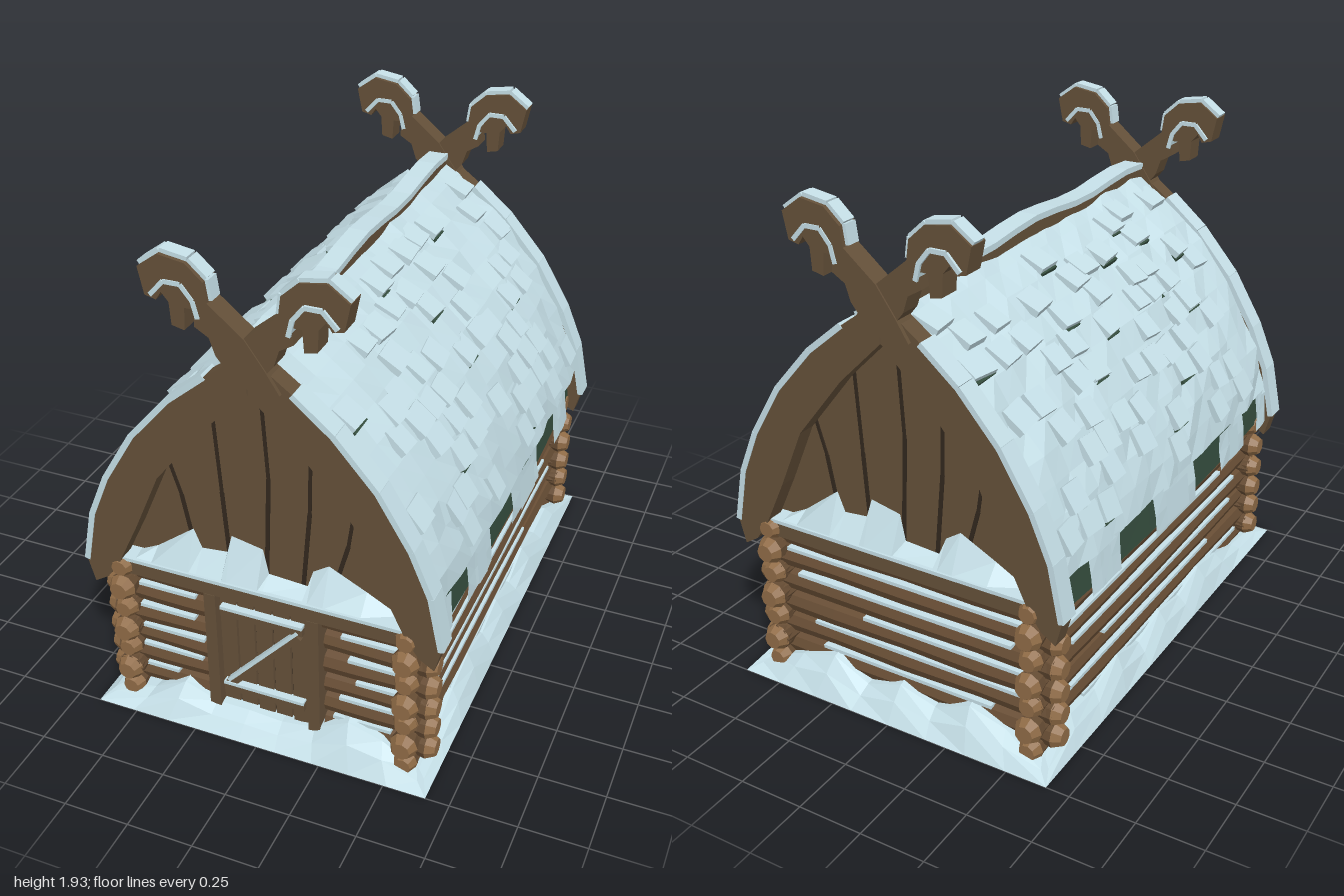
import * as THREE from 'three';

const mat = (name, color, side = THREE.FrontSide) => {
  const m = new THREE.MeshStandardMaterial({ color, side });
  m.name = name;
  return m;
};
const V2 = (p) => new THREE.Vector2(p[0], p[1]);

export function createModel() {
  const snow = mat('snow', 0xc6e0e8, THREE.DoubleSide);
  const wood = mat('plank wood', 0x645039);
  const bark = mat('log bark', 0x674d34);
  const cut = mat('cut log end', 0x8f6b46);
  const dark = mat('dark gap', 0x32281e);
  const green = mat('green shingle', 0x344c3d, THREE.DoubleSide);

  let seed = 11;
  const rnd = () => (seed = (seed * 16807) % 2147483647) / 2147483647;
  const jit = (a) => (rnd() - 0.5) * 2 * a;

  const model = new THREE.Group();
  model.name = 'snowyLogHouse';
  const group = (name, parent = model) => {
    const g = new THREE.Group();
    g.name = name;
    parent.add(g);
    return g;
  };
  // Every mesh is faceted
  const add = (parent, name, geo, m, x = 0, y = 0, z = 0) => {
    const g = geo.index ? geo.toNonIndexed() : geo;
    g.computeVertexNormals();
    const mesh = new THREE.Mesh(g, m);
    mesh.name = name;
    mesh.position.set(x, y, z);
    parent.add(mesh);
    return mesh;
  };
  const box = (parent, name, w, h, d, m, x, y, z) =>
    add(parent, name, new THREE.BoxGeometry(w, h, d), m, x, y, z);
  const plate = (parent, name, pts, z0, z1, m) =>
    add(parent, name, new THREE.ExtrudeGeometry(new THREE.Shape(pts.map(V2)),
      { depth: z1 - z0, bevelEnabled: false }), m, 0, 0, z0);
  // Thin bar between two points of a wall
  const bar = (parent, name, a, b, w, d, m, z) => {
    const o = box(parent, name, Math.hypot(b[0] - a[0], b[1] - a[1]), w, d, m,
      (a[0] + b[0]) / 2, (a[1] + b[1]) / 2, z);
    o.rotation.z = Math.atan2(b[1] - a[1], b[0] - a[0]);
  };
  // Surface through rows of [x, y, z] points
  const sheet = (parent, name, rows, m) => {
    const pos = [];
    for (let i = 0; i + 1 < rows.length; i++)
      for (let j = 0; j + 1 < rows[i].length; j++) {
        const [a, b, c, d] = [rows[i][j], rows[i + 1][j], rows[i + 1][j + 1], rows[i][j + 1]];
        pos.push(...a, ...b, ...c, ...a, ...c, ...d);
      }
    const g = new THREE.BufferGeometry();
    g.setAttribute('position', new THREE.Float32BufferAttribute(pos, 3));
    add(parent, name, g, m);
  };
  const mirror = (pts, s) => pts.map(([x, y]) => [x * s, y]);

  // Ground and snow banks against the walls
  add(model, 'groundSnow', new THREE.PlaneGeometry(1.32, 2).rotateX(-Math.PI / 2), snow);
  const bank = (name, hs, half, edge, inner, place) => {
    const n = hs.length - 1;
    const row = (k, r, top) => hs.map((h, i) => place((i / n * 2 - 1) * k, top * h, r));
    sheet(model, name, [row(half, edge, 0), row(half * 0.93, (edge + inner) / 2, 0.6), row(half * 0.9, inner, 1),
      row(half * 0.88, inner - 0.06, 1.1)], snow);
  };
  const sideH = [0.03, 0.1, 0.09, 0.13, 0.08, 0.12, 0.09, 0.13, 0.1, 0.05, 0.03];
  for (const s of [1, -1]) bank('sideSnowBank', sideH, 1, 0.66, 0.6, (a, h, r) => [s * r, h, a]);
  bank('frontSnowBank', [0.04, 0.06, 0.13, 0.08, 0.08, 0.07, 0.09, 0.16, 0.12, 0.04], 0.66, 1, 0.91, (a, h, r) => [a, h, r]);
  bank('backSnowBank', [0.04, 0.1, 0.14, 0.08, 0.12, 0.07, 0.14, 0.1, 0.04], 0.66, 1, 0.91, (a, h, r) => [a, h, -r]);

  // Log lying along local x, with knobbed cut ends and a line of snow
  const log = (parent, x0, x1, y, z, r, end0 = true, end1 = true) => {
    const len = x1 - x0, mid = (x0 + x1) / 2;
    const g = new THREE.CylinderGeometry(r, r, len, 8, 4).rotateZ(Math.PI / 2);
    const p = g.attributes.position;
    for (let i = 0; i < p.count; i++) {
      const k = 1 + 0.07 * Math.sin(p.getX(i) * 9 + y * 40);
      p.setY(i, p.getY(i) * k);
      p.setZ(i, p.getZ(i) * k);
    }
    add(parent, 'log', g, bark, mid, y, z);
    for (const [on, x, s] of [[end0, x0, -1], [end1, x1, 1]]) {
      if (!on) continue;
      const collar = new THREE.CylinderGeometry(r * 1.1, r * 0.95, 0.04, 9).rotateZ(-s * Math.PI / 2);
      add(parent, 'logCollar', collar, bark, x - s * 0.025, y, z);
      const tip = new THREE.CylinderGeometry(r * 0.72, r * 1.1, 0.035, 9).rotateZ(-s * Math.PI / 2);
      add(parent, 'logEnd', tip, cut, x + s * 0.0125, y, z);
    }
    const f = 0.55 + rnd() * 0.35;
    box(parent, 'logSnow', len * f, 0.014, 0.04, snow, mid + jit(len * (0.9 - f) / 2), y + r * 0.95, z + 0.02);
  };
  box(model, 'wallCore', 1.06, 0.62, 1.66, dark, 0, 0.315, 0);
  const sideY = [0.06, 0.15, 0.245, 0.335, 0.43, 0.53, 0.62];
  for (const s of [1, -1]) {
    const wall = group(s > 0 ? 'leftWall' : 'rightWall');
    wall.rotation.y = s * Math.PI / 2;
    sideY.forEach((y, i) => {
      const half = i % 2 ? 0.935 : 0.915;
      log(wall, -half, half, y, 0.55, i % 2 ? 0.048 : 0.043);
    });
  }
  const endY = [0.105, 0.2, 0.29, 0.385, 0.485];

  // Roof outline of one half, from eave to ridge
  const outline = [[0.655, 0.6], [0.63, 0.8], [0.56, 1.0], [0.443, 1.2], [0.292, 1.38], [0.145, 1.505], [0, 1.61]];
  const curve = new THREE.SplineCurve(outline.map(V2));
  const roofPoint = (along, z, off, s) => {
    const t = Math.min(1, along);
    const p = curve.getPointAt(t), d = curve.getTangentAt(t);
    const bulge = 0.022 * (1 - (z / 0.87) ** 2) * (1 - t);
    return [s * (p.x + d.y * off + bulge), p.y - d.x * off, z];
  };
  const roofSheet = (parent, name, t0, t1, z0, z1, nt, nz, off, j, s, m) => {
    const rows = [];
    for (let i = 0; i <= nt; i++) {
      rows.push([]);
      for (let k = 0; k <= nz; k++)
        rows[i].push(roofPoint(t0 + (t1 - t0) * i / nt, z0 + (z1 - z0) * k / nz, off + jit(j), s));
    }
    sheet(parent, name, rows, m);
  };
  const roof = group('roof');
  const tabs = [[0.87, 0.76], [0.61, 0.36], [0.115, -0.23], [-0.49, -0.7]];
  for (const s of [1, -1]) {
    const half = group(s > 0 ? 'leftRoof' : 'rightRoof', roof);
    roofSheet(half, 'greenLayer', 0, 1, -0.87, 0.87, 10, 8, -0.03, 0, s, green);
    roofSheet(half, 'snowLayer', 0.11, 1, -0.87, 0.87, 11, 16, 0, 0.012, s, snow);
    for (const [a, b] of tabs) {
      roofSheet(half, 'eaveSnow', 0, 0.12, b, a, 2, 3, 0.002, 0.004, s, snow);
      if (a - b > 0.2) roofSheet(half, 'eaveTab', 0.01, 0.11, b + 0.08, a - 0.08, 1, 1, 0.012, 0, s, snow);
    }
    // Raised snow-capped shingles, some with green showing at the lower edge
    for (let r = 0; r < 9; r++) {
      for (let z = -0.78 + (r % 2) * 0.07; z < 0.82; z += 0.13) {
        if (rnd() > 0.5) continue;
        const t = 0.21 + r * 0.085 + jit(0.012), zz = z + jit(0.02);
        const d = curve.getTangentAt(t), w = 0.09 + rnd() * 0.03;
        const angle = Math.atan2(-d.y, -s * d.x) + s * 0.2;
        const tile = box(half, 'shingleSnow', 0.1, 0.026, w, snow, ...roofPoint(t, zz, 0.002, s));
        tile.rotation.set(0, jit(0.12), angle, 'ZYX');
        if (rnd() < 0.25) {
          const under = box(half, 'shingleGreen', 0.1, 0.024, w * 0.92, green, ...roofPoint(t - 0.009, zz, -0.013, s));
          under.rotation.z = angle;
        }
      }
    }
  }
  // Wavy ridge beam with snow
  for (const [name, w, h, y, m] of [['ridgeBeam', 0.07, 0.07, 1.585, wood], ['ridgeSnow', 0.08, 0.024, 1.63, snow]]) {
    const g = new THREE.BoxGeometry(w, h, 1.74, 1, 1, 12);
    const p = g.attributes.position;
    for (let i = 0; i < p.count; i++) p.setY(i, p.getY(i) + 0.012 * Math.cos(p.getZ(i) * 8.5) - 0.01 * p.getZ(i) ** 2);
    add(roof, name, g, m, 0, y, 0);
  }

  // Gable ends: planks, verge boards and crossed carved heads
  const outer = [[0.655, 0.535], [0.68, 0.63], [0.638, 0.84], [0.567, 1.01], [0.448, 1.21], [0.297, 1.385], [0.155, 1.505], [0, 1.62]];
  const inner = [[0, 1.47], [0.17, 1.3], [0.36, 1.06], [0.46, 0.83], [0.55, 0.64], [0.6, 0.57]];
  const wallEdge = [[0.6, 0.62], [0.55, 0.9], [0.45, 1.12], [0.27, 1.34], [0, 1.55]];
  const crest = [[0.0, 1.68], [0.12, 1.78], [0.13, 1.85], [0.19, 1.905], [0.285, 1.92], [0.36, 1.865]];
  const headUnder = [[0.34, 1.77], [0.3, 1.76], [0.28, 1.79], [0.255, 1.76], [0.25, 1.68], [0.205, 1.67], [0.2, 1.75],
    [0.165, 1.75], [0.17, 1.69], [0.12, 1.66], [0.1, 1.6], [0.02, 1.5], [-0.12, 1.5], [-0.07, 1.58]];
  const muzzle = [[0.32, 1.775], [0.27, 1.83], [0.21, 1.83], [0.17, 1.78], [0.155, 1.72]];
  const snowLine = (parent, name, pts, w, z0, z1, s) => {
    for (let i = 0; i + 1 < pts.length; i++) {
      const [a, b] = mirror([pts[i], pts[i + 1]], s);
      bar(parent, name, a, b, w, z1 - z0, snow, (z0 + z1) / 2);
    }
  };
  for (const front of [true, false]) {
    const end = group(front ? 'frontEnd' : 'backEnd');
    if (!front) end.rotation.y = Math.PI;
    for (const y of endY) {
      if (!front) log(end, -0.62, 0.62, y, 0.85, 0.046);
      else for (const s of [1, -1])
        log(end, s > 0 ? 0.23 : -0.62, s > 0 ? 0.62 : -0.23, y, 0.85, 0.046, s < 0, s > 0);
    }
    log(end, -0.6, 0.6, 0.58, 0.85, 0.045);
    box(end, 'tieBeam', 1.1, 0.06, 0.1, wood, 0, 0.622, 0.87);
    box(end, 'tieBeamSnow', 1.12, 0.014, 0.11, snow, 0, 0.657, 0.872);
    plate(end, 'gablePlanks', [...wallEdge, ...mirror(wallEdge, -1).reverse().slice(1)], 0.8, 0.85, wood);
    const gaps = [[-0.36, 1.08, -0.32, 0.95, -0.27, 0.68], [-0.18, 1.32, -0.16, 1.0, -0.14, 0.68], [0, 1.48, 0.02, 1.1, 0, 0.68],
      [0.18, 1.32, 0.17, 1.0, 0.14, 0.68], [0.34, 1.1, 0.31, 0.9, 0.25, 0.68]];
    for (const [a, b, c, d, e, f] of gaps) {
      bar(end, 'plankGap', [a, b], [c, d], 0.012, 0.008, dark, 0.851);
      bar(end, 'plankGap', [c, d], [e, f], 0.015, 0.008, dark, 0.851);
    }
    const drift = [[-0.5, 0.665], [-0.43, 0.7], [-0.28, 0.815], [-0.25, 0.74], [-0.15, 0.75], [-0.13, 0.825], [-0.01, 0.8],
      [0.01, 0.7], [0.16, 0.69], [0.18, 0.76], [0.24, 0.8], [0.38, 0.73], [0.5, 0.665]];
    sheet(end, 'gableSnowDrift', [drift.map(([x]) => [x, 0.66, 0.92]), drift.map(([x, y]) => [x, y, 0.856])], snow);
    for (const s of [1, -1]) {
      const z = s > 0 ? 0 : 0.006;
      plate(end, 'vergeBoard', mirror([...outer, ...inner], s), 0.865 + z, 0.935 + z, wood);
      snowLine(end, 'vergeSnow', outer.slice(1, 7), 0.022, 0.862, 0.944, s);
      plate(end, 'carvedHead', mirror([...crest, ...headUnder], s), 0.864 + z, 0.944 + z, wood);
      snowLine(end, 'crestSnow', crest.slice(1).map(([x, y]) => [x, y + 0.003]), 0.024, 0.88, 0.935, s);
      snowLine(end, 'muzzleSnow', muzzle, 0.016, 0.86, 0.954, s);
    }
  }

  // Plank door with posts and a snowy Z brace
  const door = group('door');
  box(door, 'doorPanel', 0.36, 0.5, 0.04, dark, 0, 0.34, 0.86);
  for (let i = 0; i < 5; i++)
    box(door, 'doorPlank', 0.062, 0.49, 0.02, wood, -0.14 + i * 0.07, 0.335 + jit(0.012), 0.885);
  for (const s of [1, -1]) box(door, 'doorPost', 0.045, 0.52, 0.09, wood, s * 0.2, 0.33, 0.875);
  for (const [a, b] of [[[-0.16, 0.525], [0.16, 0.525]], [[-0.16, 0.175], [0.16, 0.175]], [[-0.14, 0.19], [0.14, 0.5]]]) {
    bar(door, 'doorBrace', a, b, 0.035, 0.025, wood, 0.905);
    const up = ([x, y]) => [x, y + 0.02];
    bar(door, 'braceSnow', up(a), up(b), 0.013, 0.032, snow, 0.906);
  }
  return model;
}
